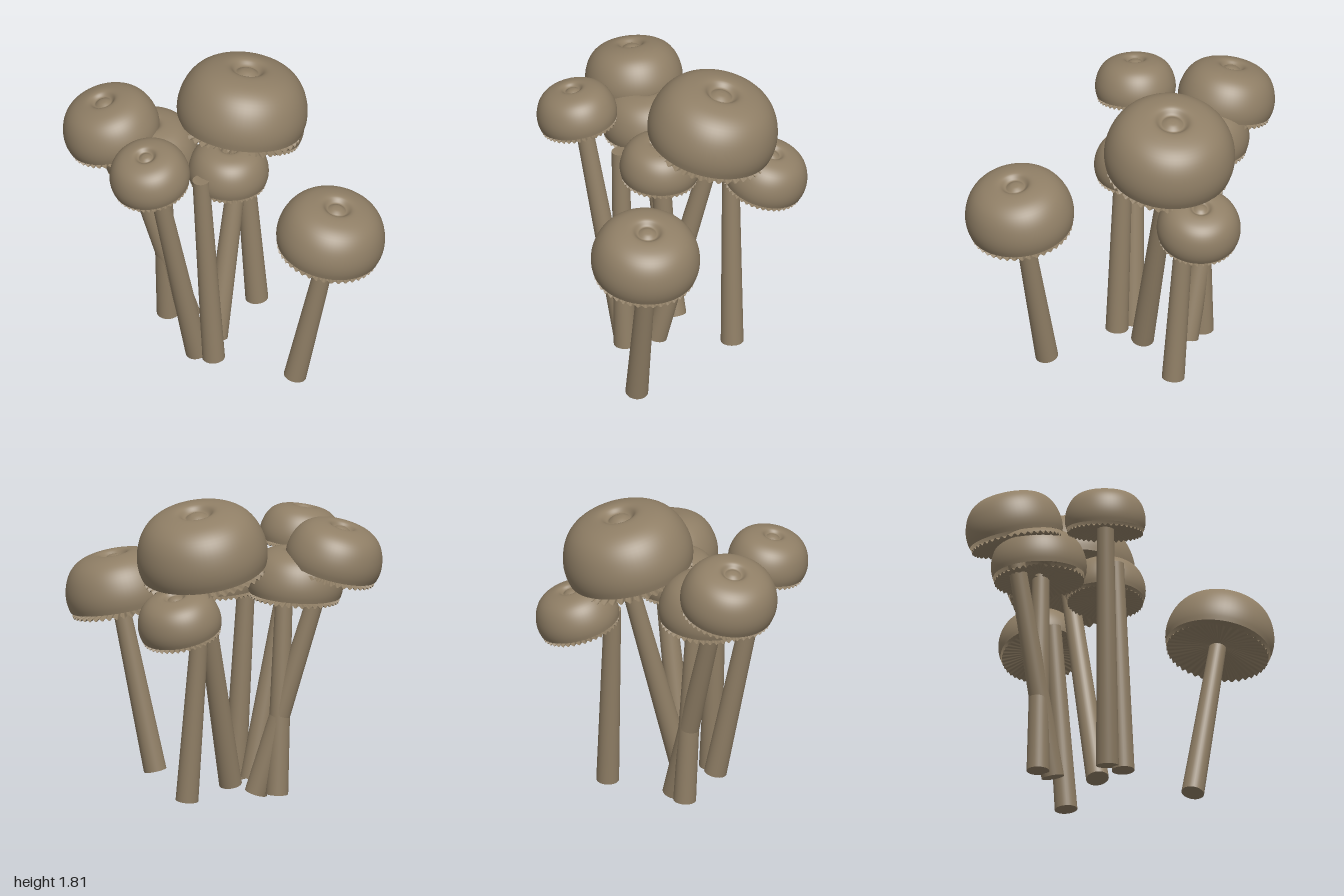
import * as THREE from 'three';

const UP = new THREE.Vector3(0, 1, 0);
const RUFFLES = 42;

// cap: middle of the cap's widest level, radius r, lean (x, z slope of its axis)
// stem: base and top centres
const MUSHROOMS = [
  { name: 'largeMushroom', cap: [0.26, 1.51, -0.2], r: 0.39, lean: [0.22, -0.02], base: [-0.07, 0.03, -0.12], top: [0.29, 1.46, -0.2] },
  { name: 'frontMushroom', cap: [0.055, 1.11, 0.67], r: 0.325, lean: [0.1, 0.16], base: [-0.045, 0.02, 0.475], top: [0.07, 1.08, 0.665] },
  { name: 'leftmostMushroom', cap: [-0.575, 1.49, -0.21], r: 0.24, lean: [-0.2, -0.04], base: [-0.26, 0.03, -0.11], top: [-0.54, 1.46, -0.2] },
  { name: 'backMushroom', cap: [-0.345, 1.47, -0.71], r: 0.29, lean: [-0.15, -0.23], base: [-0.015, 0.03, -0.38], top: [-0.28, 1.42, -0.7] },
  { name: 'innerMushroom', cap: [-0.21, 1.31, -0.52], r: 0.285, lean: [-0.06, -0.04], base: [-0.08, 0.03, -0.49], top: [-0.145, 1.28, -0.49] },
  { name: 'sideMushroom', cap: [0.56, 1.16, -0.3], r: 0.25, lean: [0.28, 0], base: [0.38, 0.02, -0.19], top: [0.35, 1.19, -0.28] },
  { name: 'smallMushroom', cap: [-0.03, 1.29, -0.06], r: 0.24, lean: [0.03, 0.02], base: [-0.23, 0.025, -0.005], top: [-0.275, 1.35, -0.065] },
];

// Dome with a shallow crater and a small knob in its middle, unit radius
function capGeometry() {
  const outline = [
    [0.965, 0], [0.995, 0.13], [1, 0.28], [0.97, 0.45], [0.9, 0.63],
    [0.79, 0.78], [0.64, 0.885], [0.47, 0.94], [0.34, 0.955], [0.27, 0.935],
    [0.21, 0.88], [0.175, 0.865], [0.14, 0.885], [0.08, 0.915], [0, 0.925],
  ].map(([x, y]) => new THREE.Vector3(x, y, 0));
  const points = new THREE.CatmullRomCurve3(outline).getPoints(42)
    .map((p) => new THREE.Vector2(Math.max(p.x, 0), p.y));
  return new THREE.LatheGeometry(points, 64);
}

// Shallow cone of gills whose waves grow toward the edge, unit radius
function gillsGeometry() {
  const geo = new THREE.RingGeometry(0.08, 0.94, RUFFLES * 6, 5);
  geo.rotateX(Math.PI / 2);
  const pos = geo.attributes.position;
  for (let i = 0; i < pos.count; i++) {
    const x = pos.getX(i), z = pos.getZ(i);
    const d = Math.hypot(x, z);
    const wave = Math.sin(Math.atan2(z, x) * RUFFLES) * 0.03 * d;
    pos.setY(i, 0.07 - 0.17 * d + wave);
  }
  geo.computeVertexNormals();
  return geo;
}

// Tapered stem between two points
function makeStem(from, to, material) {
  const a = new THREE.Vector3(...from), b = new THREE.Vector3(...to);
  const axis = b.clone().sub(a);
  const stem = new THREE.Mesh(new THREE.CylinderGeometry(0.051, 0.068, axis.length(), 32), material);
  stem.position.copy(a).add(b).multiplyScalar(0.5);
  stem.quaternion.setFromUnitVectors(UP, axis.normalize());
  stem.name = 'stem';
  return stem;
}

export function createModel() {
  const model = new THREE.Group();
  model.name = 'mushroomCluster';
  const brown = new THREE.MeshStandardMaterial({ color: 0x907f66, side: THREE.DoubleSide });
  brown.name = 'mushroom brown';
  const capGeo = capGeometry();
  const gillsGeo = gillsGeometry();

  for (const m of MUSHROOMS) {
    const mushroom = new THREE.Group();
    mushroom.name = m.name;

    // Cap and gills lean together
    const head = new THREE.Group();
    head.name = 'head';
    const axis = new THREE.Vector3(m.lean[0], 1, m.lean[1]).normalize();
    head.quaternion.setFromUnitVectors(UP, axis);
    head.position.set(...m.cap).addScaledVector(axis, -0.25 * m.r);
    head.scale.setScalar(m.r);
    const cap = new THREE.Mesh(capGeo, brown);
    cap.name = 'cap';
    const gills = new THREE.Mesh(gillsGeo, brown);
    gills.name = 'gills';
    head.add(cap, gills);

    mushroom.add(head, makeStem(m.base, m.top, brown));
    model.add(mushroom);
  }
  return model;
}
